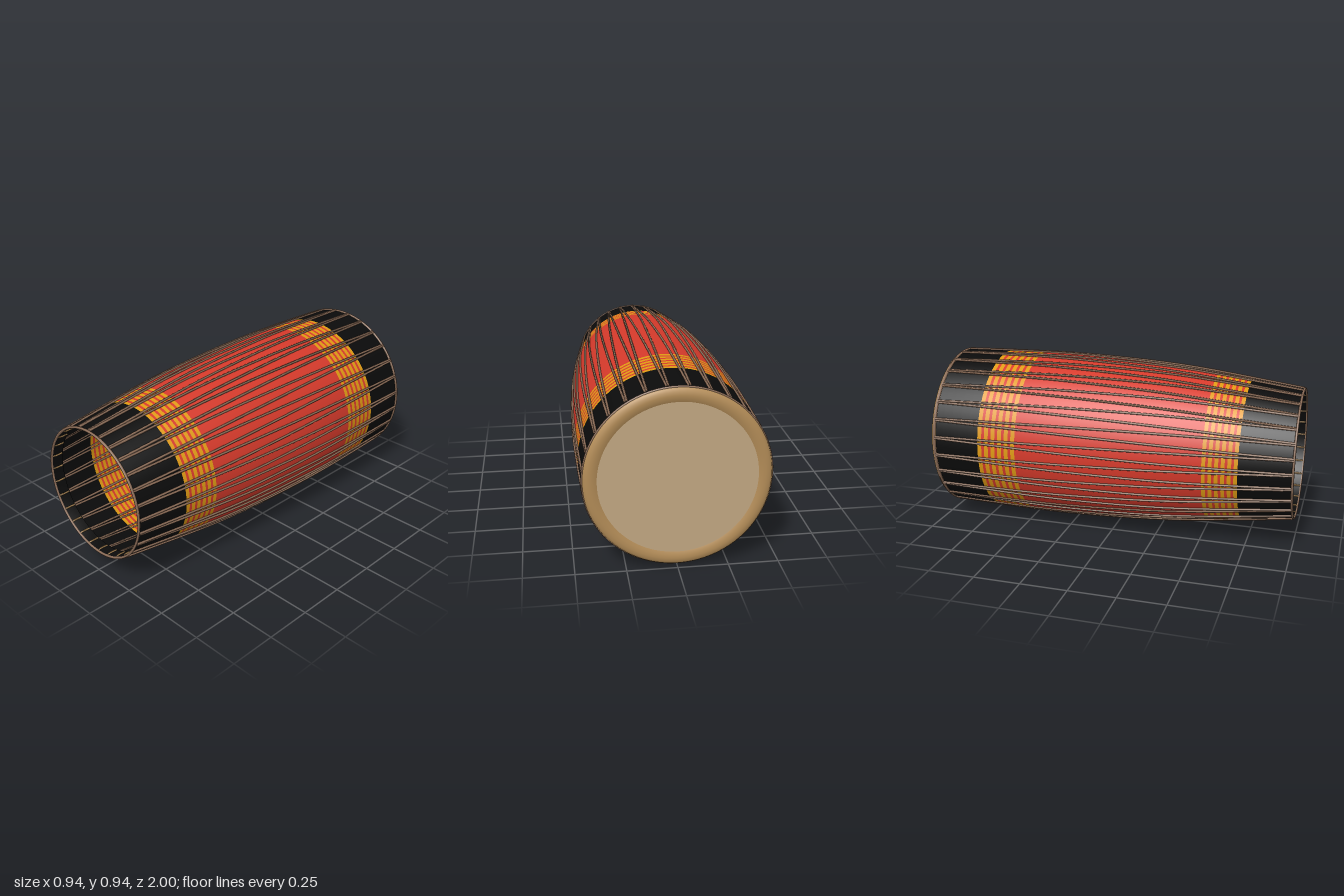
import * as THREE from 'three';
import { mergeGeometries } from 'three/addons/utils/BufferGeometryUtils.js';

const mat = (name, color, side = THREE.DoubleSide) => {
  const m = new THREE.MeshStandardMaterial({ color, side });
  m.name = name;
  return m;
};

// Shell radius along the drum axis: [z, radius]
const PROFILE = [[-1, 0.45], [-0.7, 0.458], [-0.35, 0.462], [0, 0.453], [0.3, 0.436],
  [0.53, 0.413], [0.72, 0.389], [1, 0.353]];
const profileCurve = new THREE.SplineCurve(PROFILE.map(p => new THREE.Vector2(...p)));
const SAMPLES = profileCurve.getPoints(140);
function radiusAt(z) {
  let i = 1;
  while (i < SAMPLES.length - 1 && SAMPLES[i].x < z) i++;
  const a = SAMPLES[i - 1], b = SAMPLES[i];
  return THREE.MathUtils.mapLinear(z, a.x, b.x, a.y, b.y);
}

// Lathe about the z axis from [radius, z] points
const latheZ = (pts, segments = 84) =>
  new THREE.LatheGeometry(pts.map(p => new THREE.Vector2(...p)), segments).rotateX(Math.PI / 2);

// One ring of the shell between two z positions
function band(z0, z1) {
  const n = Math.max(1, Math.ceil((z1 - z0) / 0.06)), pts = [];
  for (let i = 0; i <= n; i++) {
    const z = z0 + (z1 - z0) * i / n;
    pts.push([radiusAt(z), z]);
  }
  return latheZ(pts);
}

// Alternating stripes, starting and ending with gold
function stripes(z0, z1, count, gold, red) {
  const pitch = (z1 - z0) / (count - 0.4);
  for (let i = 0; i < count; i++) {
    const z = z0 + i * pitch;
    gold.push(band(z, z + pitch * 0.6));
    if (i < count - 1) red.push(band(z + pitch * 0.6, z + pitch));
  }
}

export function createModel() {
  const black = mat('black paint', 0x0b0b0b);
  const redPaint = mat('red paint', 0xd63a2b);
  const goldPaint = mat('gold paint', 0xdf9a14);
  const cord = mat('brown cord', 0x8a6b56, THREE.FrontSide);
  const skin = mat('drum skin', 0xc4a983);
  const hoop = mat('tan hoop', 0xb48d58);

  const root = new THREE.Group();
  root.name = 'drum';
  const drum = new THREE.Group();
  drum.name = 'drumBody';
  drum.position.y = 0.47;
  root.add(drum);
  const add = (name, geometry, material) => {
    const mesh = new THREE.Mesh(geometry, material);
    mesh.name = name;
    drum.add(mesh);
    return mesh;
  };

  // Painted open shell
  add('backBlackBand', band(-0.975, -0.71), black);
  add('frontBlackBand', band(0.715, 0.997), black);
  const gold = [], red = [band(-0.49, 0.53)];
  stripes(-0.71, -0.49, 6, gold, red);
  stripes(0.53, 0.715, 6, gold, red);
  add('goldStripes', mergeGeometries(gold), goldPaint);
  add('redShell', mergeGeometries(red), redPaint);

  // Inner lip of the open end
  add('frontLip', latheZ([[0.353, 0.997], [0.347, 0.99], [0.347, 0.93]]), black);

  // Skin stretched over the back end, with a rounded hoop
  add('drumHead', latheZ([[0, -0.992], [0.385, -0.992]]), skin);
  add('headHoop', latheZ([[0.385, -0.992], [0.4, -0.998], [0.418, -1], [0.436, -0.998],
    [0.449, -0.99], [0.454, -0.978], [0.452, -0.965]]), hoop);

  // Cord rings at both ends
  const ring = (name, r, z, tube) =>
    add(name, new THREE.TorusGeometry(r, tube, 8, 84), cord).position.set(0, 0, z);
  ring('backCordRing', 0.45, -0.974, 0.009);
  ring('frontCordRing', 0.354, 0.993, 0.007);

  // Zigzag lacing between the two rings
  const COUNT = 28, STEP = Math.PI * 2 / COUNT, zFront = 0.99, zBack = -0.97;
  const strands = [], hooks = [];
  const polar = (r, a, z) => new THREE.Vector3(Math.sin(a) * r, Math.cos(a) * r, z);
  for (let i = 0; i < COUNT; i++) {
    const a = i * STEP;
    for (const side of [-1, 1]) {
      const pts = [];
      for (let k = 0; k <= 12; k++) {
        const t = k / 12, z = zFront + (zBack - zFront) * t;
        pts.push(polar(radiusAt(z) + 0.003, a + side * (0.012 + t * (STEP / 2 - 0.022)), z));
      }
      strands.push(new THREE.TubeGeometry(new THREE.CatmullRomCurve3(pts), 20, 0.0065, 6));
    }
    // Short loop tucked inside the open end
    const hook = new THREE.CatmullRomCurve3([polar(0.353, a, 0.993), polar(0.346, a, 0.985), polar(0.346, a, 0.935)]);
    hooks.push(new THREE.TubeGeometry(hook, 6, 0.005, 6));
  }
  add('lacing', mergeGeometries(strands), cord);
  add('lacingLoops', mergeGeometries(hooks), hoop);

  return root;
}
